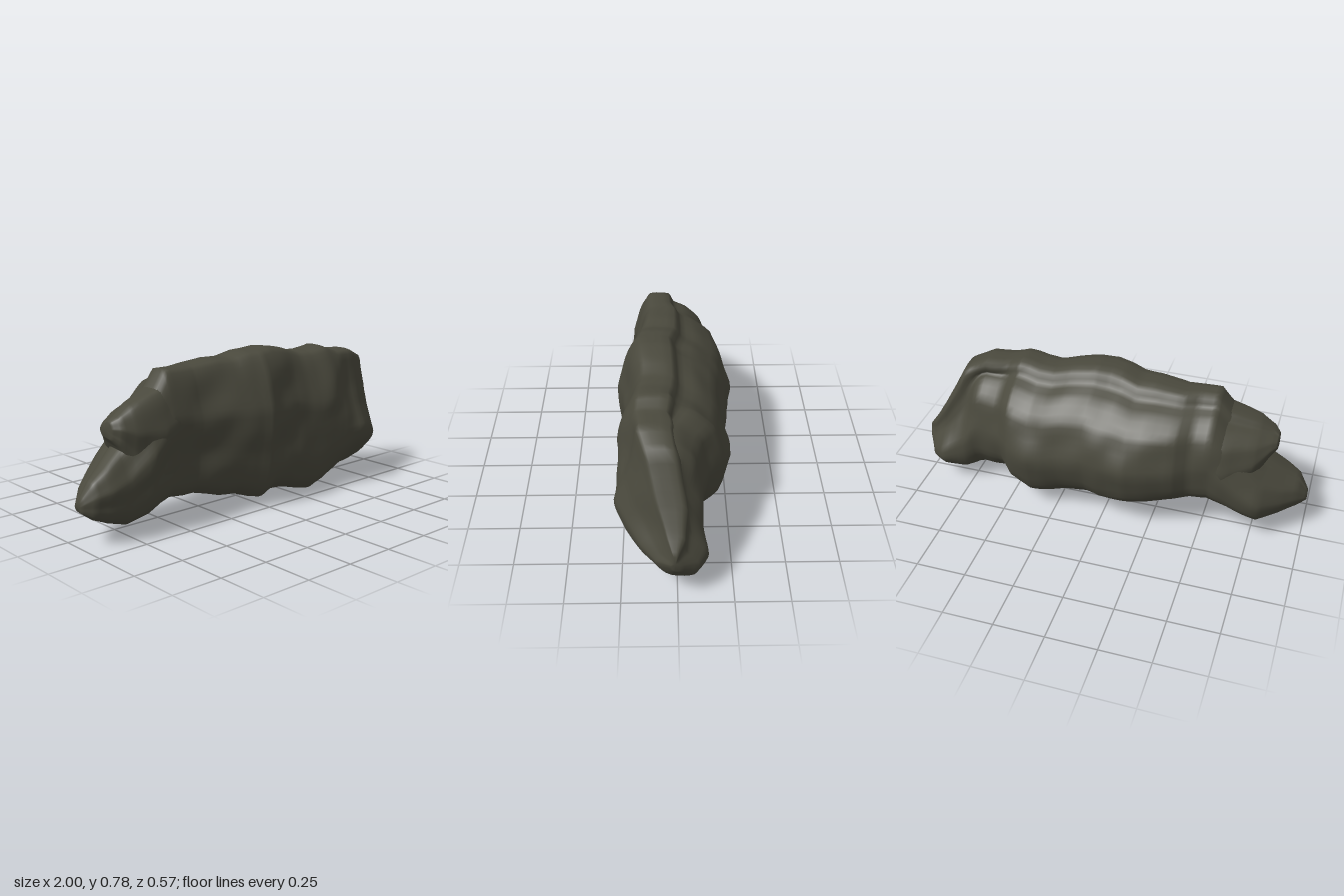
import * as THREE from 'three';

// Cross-section outlines as [depth 0 back..1 front, height 0..1], from the top down the front
const BODY = [[.8, 1], [.89, .9], [.95, .76], [1, .63], [.99, .5], [.965, .36], [.96, .22], [.91, .08], [.79, 0],
  [.52, .04], [.25, .1], [.08, .23], [0, .46], [.05, .62], [.12, .76], [.3, .87], [.46, .92], [.54, 1]];
const TIP = [[.7, 1], [.75, .87], [.8, .72], [.87, .57], [.95, .46], [1, .37], [.95, .25], [.78, .1], [.6, .02],
  [.32, 0], [.1, .04], [0, .18], [.01, .33], [.12, .48], [.24, .61], [.29, .75], [.29, .9], [.38, 1]];
const RING = 54;

function outline(points) {
  const curve = new THREE.CatmullRomCurve3(points.map(([z, y]) => new THREE.Vector3(0, y, z)), true, 'catmullrom', 0.35);
  return Array.from({ length: RING }, (_, j) => curve.getPoint(j / RING));
}

// Irregular lumps and hollows
function lump(x, y, z) {
  return 0.5 * Math.sin(9 * x + 5 * y + 3 * z) * Math.cos(10 * y - 4 * x + 2)
    + 0.35 * Math.sin(17 * x - 9 * y + 8 * z + 1) * Math.sin(15 * y + 6 * x)
    + 0.2 * Math.cos(27 * x + 14 * z) * Math.cos(23 * y + 12 * z);
}

// Skin rows of [x, bottom, top, back, front]; roughness sets the size of the lumps
function loft(rows, steps, roughness, tipAmount) {
  const body = outline(BODY), tip = outline(TIP);
  const positions = [], index = [];
  const stations = [];
  rows.forEach((row, i) => {
    if (i === rows.length - 1) { stations.push(row); return; }
    for (let k = 0; k < steps; k++) stations.push(row.map((v, n) => THREE.MathUtils.lerp(v, rows[i + 1][n], k / steps)));
  });
  const last = stations.length - 1;
  stations.forEach(([x, y0, y1, z0, z1], i) => {
    const fade = Math.min(1, i / 5, (last - i) / 5) * roughness;
    for (let j = 0; j < RING; j++) {
      const p = body[j].clone().lerp(tip[j], tipAmount(x, j / RING));
      const y = y0 + (y1 - y0) * p.y, z = z0 + (z1 - z0) * p.z;
      const cy = p.y - 0.5, cz = p.z - 0.5, len = Math.hypot(cy, cz) || 1;
      const d = fade * lump(x, y, z);
      positions.push(x, y + d * cy / len * 0.4, z + d * cz / len);
    }
  });
  for (let i = 0; i < last; i++) {
    for (let j = 0; j < RING; j++) {
      const k = (j + 1) % RING;
      const a = i * RING + j, b = i * RING + k, c = a + RING, d = b + RING;
      index.push(a, b, c, b, d, c);
    }
  }
  // Blunt end caps
  [[0, true], [last, false]].forEach(([i, first]) => {
    const [x, y0, y1, z0, z1] = stations[i];
    const centre = positions.length / 3;
    positions.push(x, (y0 + y1) / 2, (z0 + z1) / 2);
    for (let j = 0; j < RING; j++) {
      const a = i * RING + j, b = i * RING + (j + 1) % RING;
      if (first) index.push(centre, b, a);
      else index.push(centre, a, b);
    }
  });
  const geometry = new THREE.BufferGeometry();
  geometry.setAttribute('position', new THREE.Float32BufferAttribute(positions, 3));
  geometry.setIndex(index);
  geometry.computeVertexNormals();
  return geometry;
}

// The front tapers gradually, the back breaks off in a steep ledge
function boulderTip(x, around) {
  const { smoothstep, lerp } = THREE.MathUtils;
  const backness = smoothstep(around, .42, .62) * (1 - smoothstep(around, .84, .94));
  return lerp(smoothstep(x, .42, .65), smoothstep(x, .69, .78), backness);
}

export function createModel() {
  const stone = new THREE.MeshStandardMaterial({ color: 0x4a493d });
  stone.name = 'dark mossy stone';
  const group = new THREE.Group();
  group.name = 'rock';

  const add = (name, geometry) => {
    const mesh = new THREE.Mesh(geometry, stone);
    mesh.name = name;
    group.add(mesh);
  };

  // Long main boulder
  add('boulder', loft([
    [-1, .17, .22, .07, .12], [-.95, .13, .30, .01, .17], [-.88, .10, .35, -.06, .19], [-.78, .07, .43, -.14, .20],
    [-.67, .10, .56, -.16, .22], [-.59, .13, .66, -.17, .205], [-.53, .145, .74, -.17, .195], [-.44, .13, .735, -.18, .195],
    [-.37, .125, .735, -.235, .20], [-.23, .09, .75, -.27, .23], [-.14, .08, .745, -.285, .25], [-.06, .05, .765, -.27, .265],
    [0, .04, .77, -.265, .285], [.08, .055, .775, -.25, .26], [.2, .04, .755, -.245, .245], [.29, .02, .73, -.255, .25],
    [.37, .003, .725, -.25, .26], [.47, .045, .74, -.23, .275], [.55, .075, .71, -.15, .29], [.66, .075, .705, -.13, .29],
    [.77, .085, .66, -.12, .24], [.88, .10, .45, -.125, .16], [.95, .115, .34, -.09, .10], [1, .19, .27, -.01, .03]
  ], 4, 0.016, boulderTip));

  // Upper knob overhanging the notch at one end
  add('upperKnob', loft([
    [-.83, .47, .54, .03, .12], [-.8, .425, .565, -.01, .165], [-.73, .28, .61, -.09, .195],
    [-.60, .18, .655, -.165, .21], [-.5, .2, .70, -.165, .195], [-.42, .3, .66, -.13, .15]
  ], 4, 0.01, () => 0));

  return group;
}
